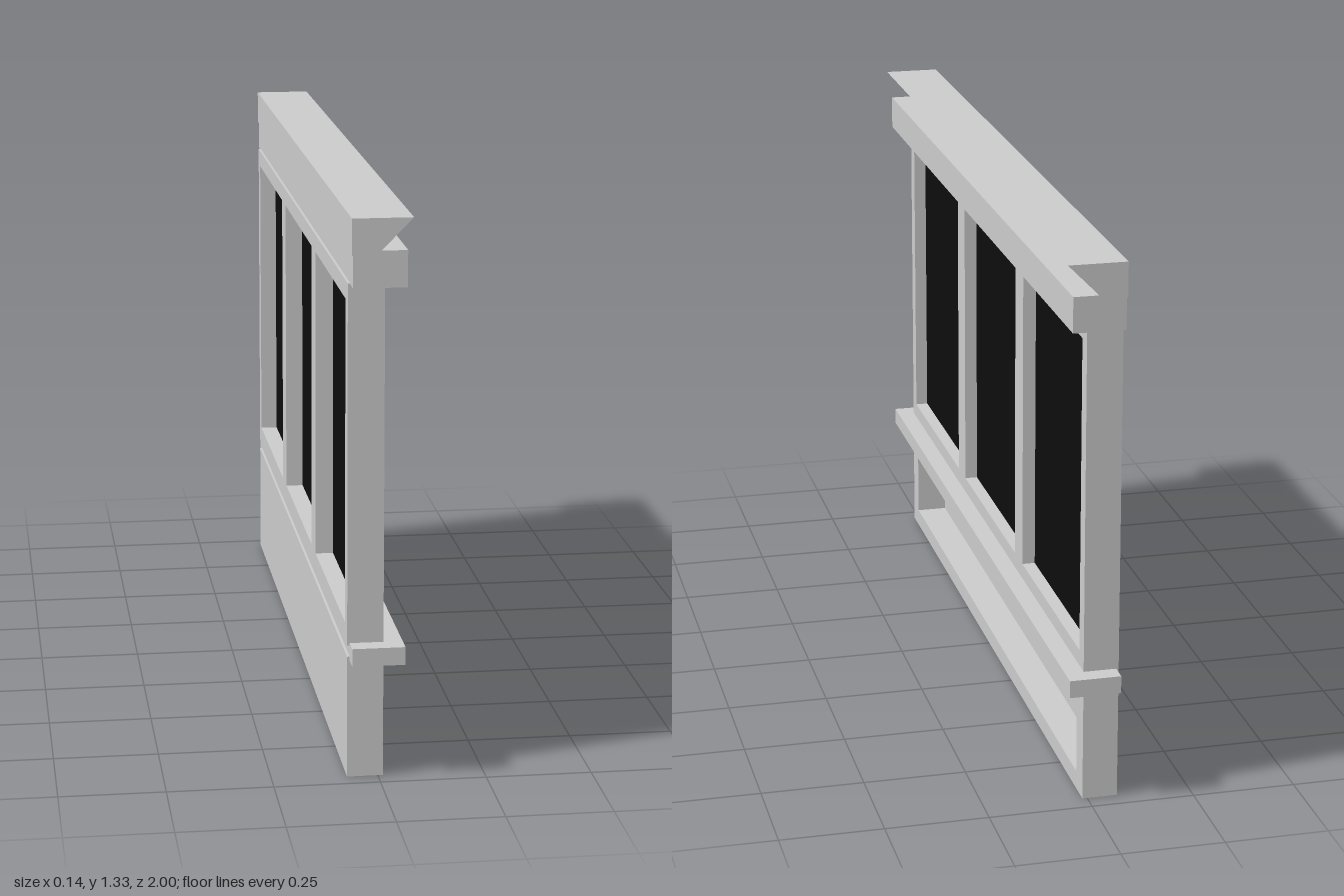
import * as THREE from 'three';

const BACK = -0.073, FRONT = 0.012; // wall thickness along x
const HALF = 0.955;                 // half width of the framed wall along z

export function createModel() {
  const group = new THREE.Group();
  const grey = new THREE.MeshStandardMaterial({ color: 0xcccccc, flatShading: true });
  const black = new THREE.MeshStandardMaterial({ color: 0x0d0d0d });

  const add = (name, geometry, material = grey) => {
    const mesh = new THREE.Mesh(geometry, material);
    mesh.name = name;
    group.add(mesh);
    return mesh;
  };

  // Box given by its limits on each axis
  const box = (name, x0, x1, y0, y1, z0, z1, material) =>
    add(name, new THREE.BoxGeometry(x1 - x0, y1 - y0, z1 - z0), material)
      .position.set((x0 + x1) / 2, (y0 + y1) / 2, (z0 + z1) / 2);

  const trace = (path, a, b, y0, y1) => {
    path.moveTo(a, y0).lineTo(b, y0).lineTo(b, y1).lineTo(a, y1).closePath();
    return path;
  };

  // Upright slab facing +x with rectangular openings [a, b, y0, y1]
  const frame = (name, y0, y1, openings) => {
    const shape = trace(new THREE.Shape(), -HALF, HALF, y0, y1);
    for (const o of openings) shape.holes.push(trace(new THREE.Path(), ...o));
    const geometry = new THREE.ExtrudeGeometry(shape, { depth: FRONT - BACK, bevelEnabled: false });
    geometry.rotateY(Math.PI / 2).translate(BACK, 0, 0);
    add(name, geometry);
  };

  // Lower wall: deep recessed panel with a thin back
  frame('lowerPanelFrame', 0, 0.295, [[-0.897, 0.897, 0.045, 0.258]]);
  box('lowerPanelBack', BACK, -0.067, 0.045, 0.258, -0.897, 0.897);

  // Window frame with three openings, and a pane in each
  const panes = [[-0.915, -0.36], [-0.28, 0.28], [0.36, 0.915]];
  frame('windowFrame', 0.322, 1.178, panes.map(([a, b]) => [a, b, 0.367, 1.135]));
  for (const [a, b] of panes) box('windowPane', -0.029, -0.02, 0.367, 1.135, a, b, black);

  // Projecting sill and cornice boards
  box('sill', -0.067, 0.057, 0.285, 0.328, -1, 1);
  box('cornice', -0.067, 0.057, 1.175, 1.26, -1, 1);

  // Crown moulding with a sloped overhang
  const profile = new THREE.Shape();
  profile.moveTo(-0.07, 1.25).lineTo(-0.003, 1.25).lineTo(-0.003, 1.26)
    .lineTo(0.07, 1.334).lineTo(-0.07, 1.334).closePath();
  const crown = new THREE.ExtrudeGeometry(profile, { depth: 2, bevelEnabled: false });
  add('crown', crown.translate(0, 0, -1));

  return group;
}
